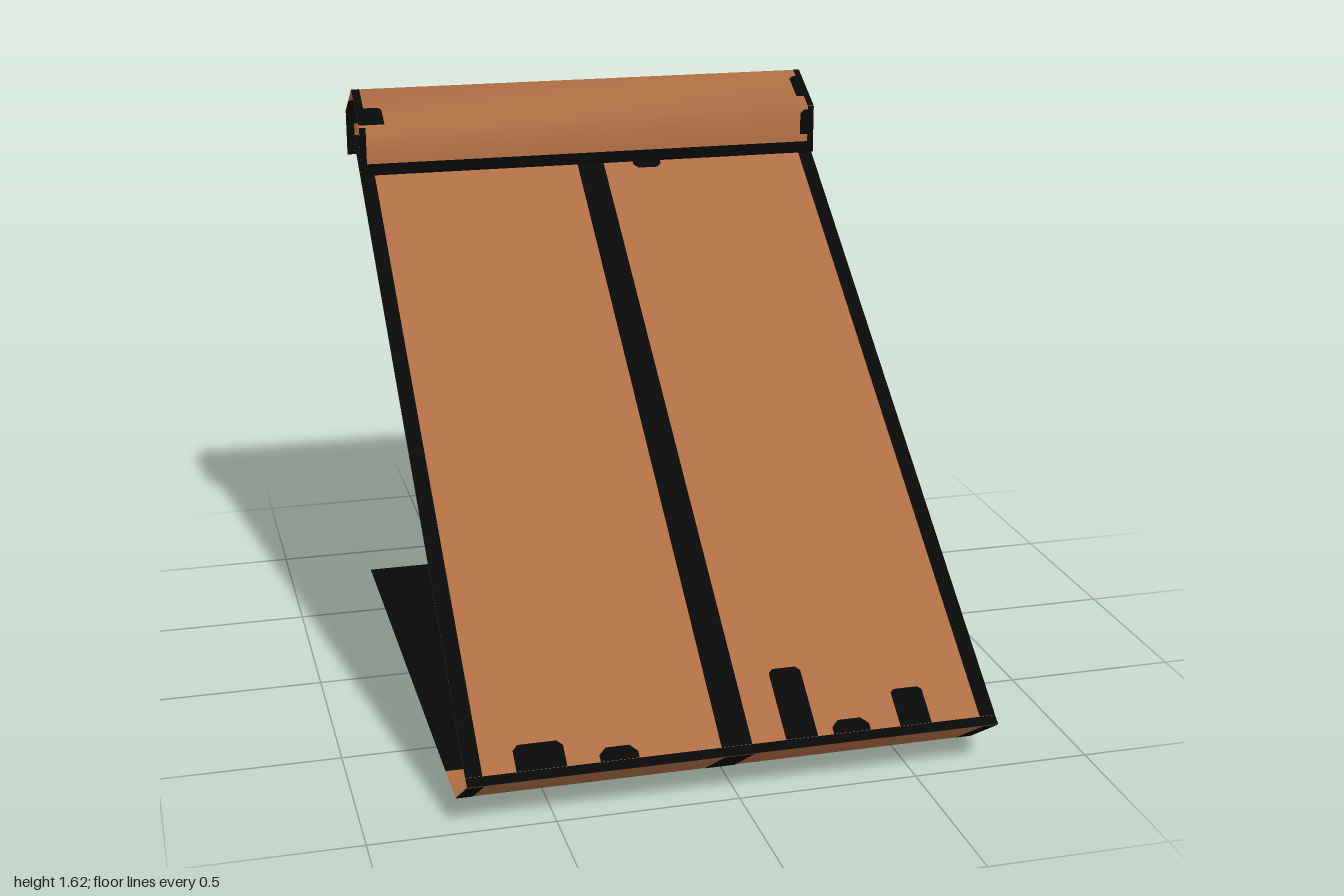
import * as THREE from 'three';

const brown = new THREE.MeshStandardMaterial({ color: 0xaf6e44, side: THREE.DoubleSide });
brown.name = 'copper brown';
const black = new THREE.MeshStandardMaterial({ color: 0x080808, side: THREE.DoubleSide });
black.name = 'black';

const W = 0.735; // half width

// Thin sheet swept across x along a [z, y] profile, smooth along the profile
function sheet(name, profile, material) {
  const pos = [], idx = [];
  profile.forEach(([z, y], i) => {
    pos.push(-W, y, z, W, y, z);
    if (i) {
      const a = 2 * i - 2;
      idx.push(a, a + 1, a + 3, a, a + 3, a + 2);
    }
  });
  const g = new THREE.BufferGeometry();
  g.setAttribute('position', new THREE.Float32BufferAttribute(pos, 3));
  g.setIndex(idx);
  g.computeVertexNormals();
  const m = new THREE.Mesh(g, material);
  m.name = name;
  return m;
}

// Flat painted marks just off both faces of the facet from p to q.
// Each mark is [x0, x1, t0, t1, bevel], t being the distance from p.
function marks(name, p, q, list) {
  const group = new THREE.Group();
  group.name = name;
  for (const [x0, x1, t0, t1, c = 0] of list) {
    const g = new THREE.ShapeGeometry(new THREE.Shape([
      [x0, t0], [x1, t0], [x1, t1 - c], [x1 - c, t1], [x0 + c, t1], [x0, t1 - c],
    ].map(([x, t]) => new THREE.Vector2(x, t))));
    for (const side of [-1, 1]) {
      const m = new THREE.Mesh(g, black);
      m.name = 'paintMark';
      m.position.z = side * 0.0015;
      group.add(m);
    }
  }
  const along = new THREE.Vector3(0, q[1] - p[1], q[0] - p[0]).normalize();
  const xAxis = new THREE.Vector3(1, 0, 0);
  const normal = xAxis.clone().cross(along);
  group.quaternion.setFromRotationMatrix(new THREE.Matrix4().makeBasis(xAxis, along, normal));
  group.position.set(0, p[1], p[0]);
  return group;
}

export function createModel() {
  const model = new THREE.Group();
  model.name = 'foldedSheet';

  // Base, the lip that folds up from it and the narrow hem above the lip
  const lipTop = [1, 0.128], lipLow = [0.81, 0], panelLow = [0.975, 0.143];
  model.add(sheet('floor', [[0.65, 0], [-0.837, 0]], black));
  model.add(sheet('frontLip', [lipTop, lipLow, [0.65, 0]], brown));
  model.add(sheet('hem', [lipTop, panelLow], black));
  model.add(marks('lipPaint', lipTop, lipLow, [
    [-W, -0.69, 0, 0.22], [0.69, W, 0, 0.22],
    [-0.045, 0.04, 0, 0.225],
  ]));

  // Sloping panel with borders, centre band and edge marks
  const panelTop = [-0.83, 1.475];
  const L = Math.hypot(panelLow[0] - panelTop[0], panelTop[1] - panelLow[1]);
  model.add(sheet('slopingPanel', [panelLow, panelTop], brown));
  model.add(marks('panelPaint', panelLow, panelTop, [
    [-W, -0.69, 0, L], [0.69, W, 0, L], [-0.045, 0.04, 0, L],
    [-W, W, L - 0.03, L],
    [-0.60, -0.465, 0, 0.077, 0.015], [-0.375, -0.27, 0, 0.04, 0.02],
    [0.135, 0.225, 0, 0.215, 0.012], [0.27, 0.375, 0, 0.04, 0.02],
    [0.46, 0.55, 0, 0.113, 0.01],
  ]));
  model.add(marks('panelTopPaint', panelTop, panelLow, [
    [0.135, 0.225, 0, 0.2, 0.015], [-0.355, -0.295, 0, 0.172, 0.01],
    [0.56, 0.65, 0, 0.055, 0.015], [0.42, 0.51, 0, 0.065, 0.015],
    [-0.63, -0.54, 0, 0.1, 0.015],
  ]));

  // Hood over the top of the panel, open underneath
  const hood = [[-0.677, 1.377], [-0.677, 1.527], [-0.837, 1.618], [-0.998, 1.522], [-0.998, 1.38]];
  model.add(sheet('hood', hood, brown));
  model.add(marks('hoodFrontPaint', hood[0], hood[1], [
    [-W, W, 0, 0.036],
    [-W, -0.715, 0, 0.15], [0.715, W, 0, 0.15], [0.69, W, 0.06, 0.14, 0.012],
  ]));
  model.add(marks('hoodFrontSlopePaint', hood[1], hood[2], [
    [-W, -0.655, 0.01, 0.09, 0.01], [-W, -0.71, 0.08, 0.183],
    [0.69, W, 0.05, 0.15, 0.012], [0.715, W, 0, 0.183],
  ]));
  model.add(marks('hoodBackSlopePaint', hood[3], hood[2], [
    [-W, -0.59, 0, 0.03, 0.01], [0.59, W, 0, 0.03, 0.01],
    [-W, -0.7, 0, 0.1, 0.01], [0.7, W, 0, 0.06, 0.01],
  ]));
  model.add(marks('hoodBackPaint', hood[4], hood[3], [
    [-W, W, 0, 0.03],
    [-W, -0.71, 0, 0.142], [0.71, W, 0, 0.142],
    [-W, -0.6, 0.1, 0.142], [0.6, W, 0.1, 0.142],
  ]));
  return model;
}
